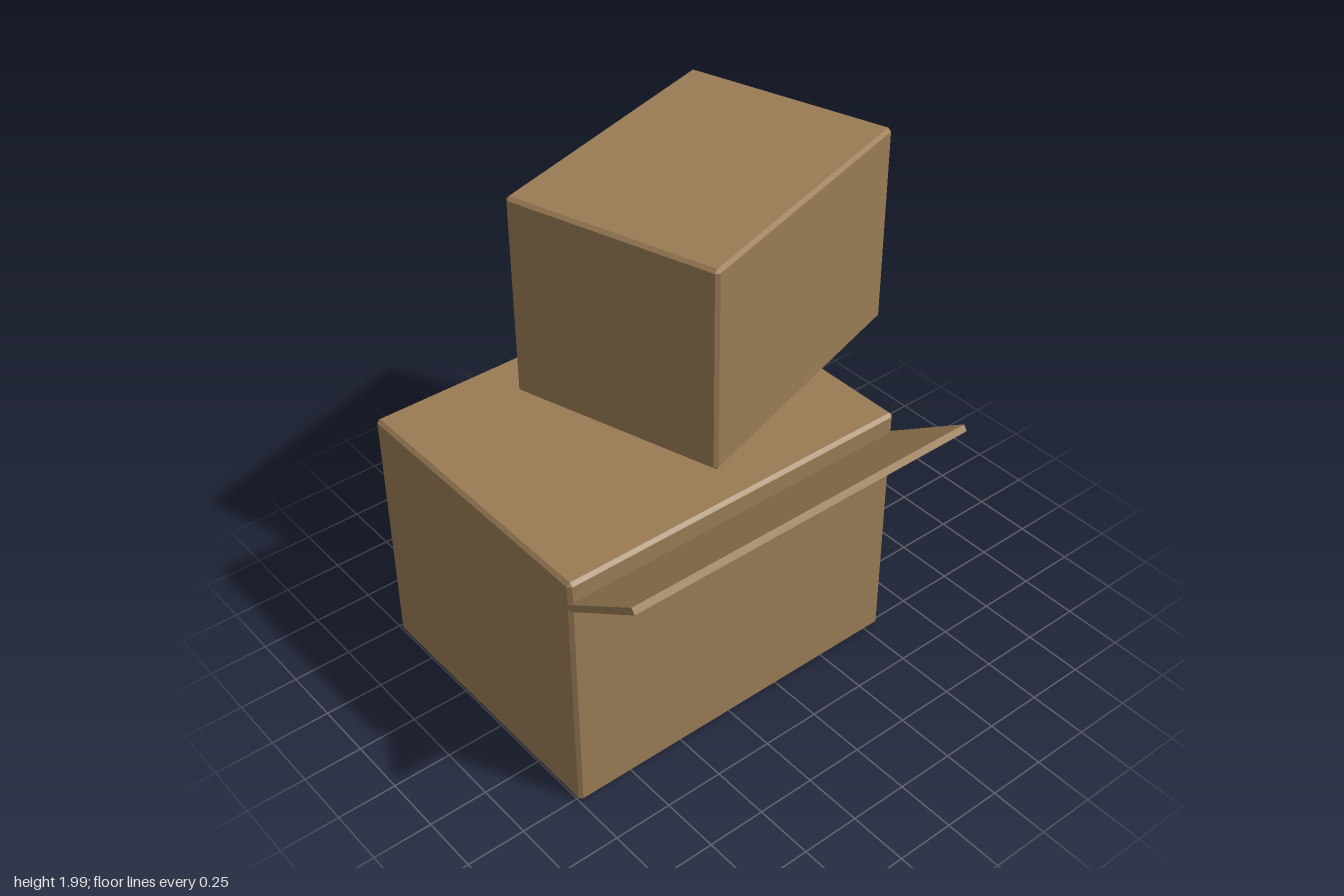
import * as THREE from 'three';
import { ConvexGeometry } from 'three/addons/geometries/ConvexGeometry.js';

// Box with a single flat chamfer along every edge, standing on y = 0
function chamferedBox(w, h, d, b) {
  const points = [];
  for (const sx of [-1, 1]) for (const sy of [-1, 1]) for (const sz of [-1, 1]) {
    const x = w / 2, y = h / 2, z = d / 2;
    points.push(
      new THREE.Vector3(sx * x, sy * (y - b), sz * (z - b)),
      new THREE.Vector3(sx * (x - b), sy * y, sz * (z - b)),
      new THREE.Vector3(sx * (x - b), sy * (y - b), sz * z)
    );
  }
  return new ConvexGeometry(points).translate(0, h / 2, 0);
}

export function createModel() {
  const group = new THREE.Group();
  const cardboard = new THREE.MeshStandardMaterial({ color: 0x997b54, flatShading: true });
  cardboard.name = 'cardboard';

  const add = (name, geometry, x, y, z) => {
    const mesh = new THREE.Mesh(geometry, cardboard);
    mesh.name = name;
    mesh.position.set(x, y, z);
    group.add(mesh);
    return mesh;
  };

  // Large carton at the bottom
  add('lowerBox', chamferedBox(1.573, 1.105, 1.256, 0.014), -0.2135, 0, -0.104);

  // Smaller carton, turned on top
  const upper = add('upperBox', chamferedBox(1.253, 0.88, 0.935, 0.014), 0.2615, 1.11, -0.26);
  upper.rotation.y = THREE.MathUtils.degToRad(17);

  // Open flap rising outwards from the front edge, hinged at its root
  const flapGeometry = new THREE.BoxGeometry(1.573, 0.028, 0.455).translate(0, 0.014, 0.2275);
  const flap = add('frontFlap', flapGeometry, -0.2135, 0.98, 0.517);
  flap.rotation.x = -THREE.MathUtils.degToRad(33.8);

  return group;
}
